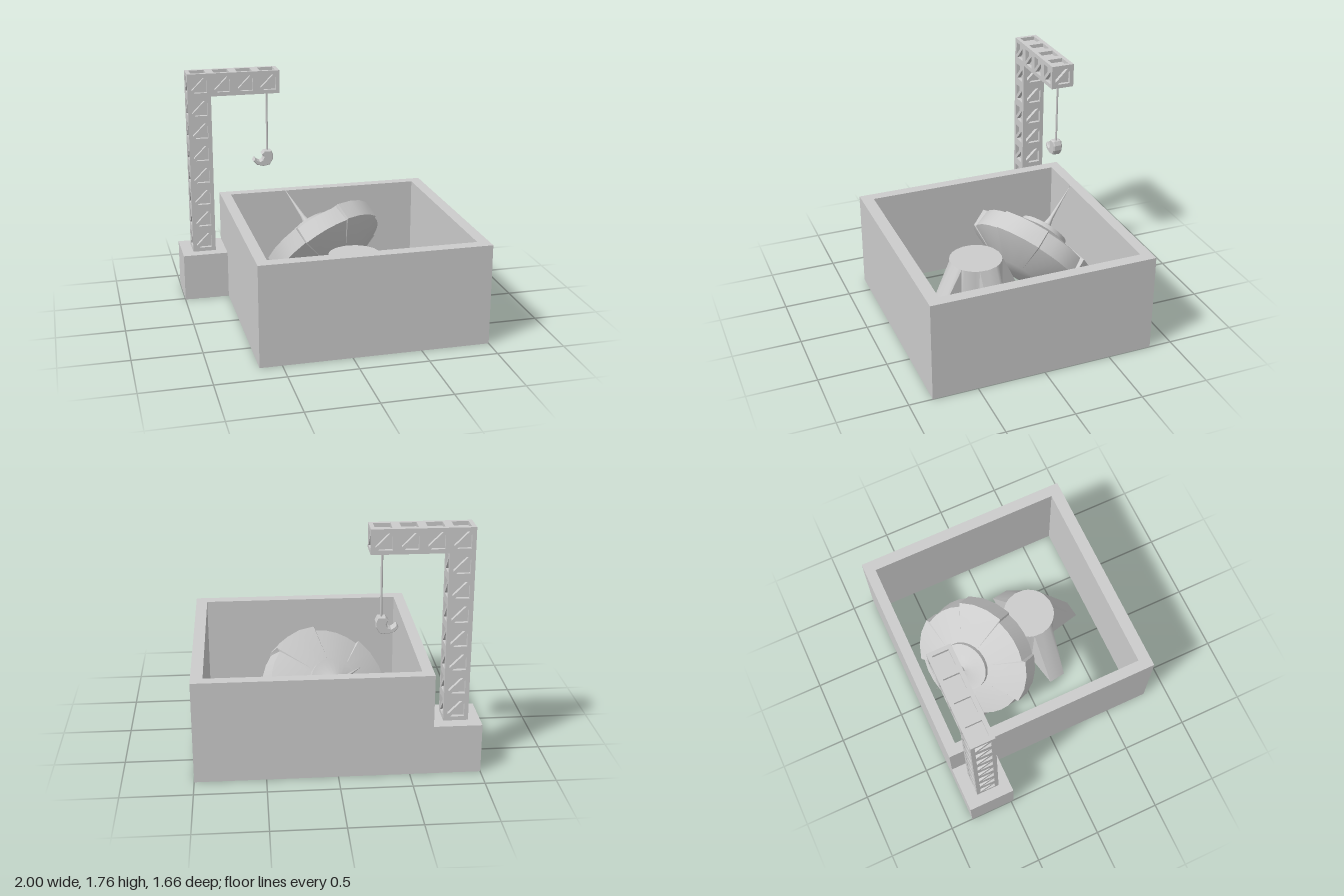
import * as THREE from 'three';
import { toCreasedNormals } from 'three/addons/utils/BufferGeometryUtils.js';

const material = new THREE.MeshStandardMaterial({ color: 0xcccccc });
const rad = THREE.MathUtils.degToRad;

function add(parent, name, geometry, x = 0, y = 0, z = 0) {
  const mesh = new THREE.Mesh(geometry, material);
  mesh.name = name;
  mesh.position.set(x, y, z);
  parent.add(mesh);
  return mesh;
}

const polar = (r, deg, y) => new THREE.Vector3(r * Math.cos(rad(deg)), y, -r * Math.sin(rad(deg)));

// Capped skin over closed rings, listed from bottom to top
function loft(rings) {
  const pos = [];
  const tri = (...points) => points.forEach((p) => pos.push(p.x, p.y, p.z));
  const n = rings[0].length;
  const centre = (ring) => new THREE.Vector3(0, ring[0].y, 0);
  const top = rings[rings.length - 1];
  for (let j = 0; j < n; j++) {
    const k = (j + 1) % n;
    for (let i = 0; i + 1 < rings.length; i++) {
      const [a, b, c, d] = [rings[i][j], rings[i][k], rings[i + 1][k], rings[i + 1][j]];
      tri(a, b, c);
      tri(a, c, d);
    }
    tri(centre(rings[0]), rings[0][k], rings[0][j]);
    tri(centre(top), top[j], top[k]);
  }
  const geometry = new THREE.BufferGeometry();
  geometry.setAttribute('position', new THREE.Float32BufferAttribute(pos, 3));
  return toCreasedNormals(geometry, 0.5);
}

const polygon = (points) => points.map(([x, y]) => new THREE.Vector2(x, y));

// Square wall frame, open above and below
function wallGeometry() {
  const shape = new THREE.Shape(polygon([[-0.66, -0.83], [1, -0.83], [1, 0.83], [-0.66, 0.83]]));
  shape.holes.push(new THREE.Path(polygon([[-0.58, -0.74], [-0.58, 0.75], [0.915, 0.75], [0.915, -0.74]])));
  return new THREE.ExtrudeGeometry(shape, { depth: 0.745, bevelEnabled: false }).rotateX(-Math.PI / 2);
}

// One lattice panel: a square frame, with or without a diagonal brace
function panelGeometry(size, depth, braced) {
  const h = size / 2, w = 0.058, g = 0.018;
  const shape = new THREE.Shape(polygon([[-h, -h], [h, -h], [h, h], [-h, h]]));
  const holes = braced
    ? [[[-w, -w + g], [-w, w], [w - g, w]], [[-w + g, -w], [w, w - g], [w, -w]]]
    : [[[-w, -w], [-w, w], [w, w], [w, -w]]];
  holes.forEach((hole) => shape.holes.push(new THREE.Path(polygon(hole))));
  return new THREE.ExtrudeGeometry(shape, { depth, bevelEnabled: false }).translate(0, 0, h - depth);
}

function buildCrane() {
  const crane = new THREE.Group();
  crane.name = 'crane';
  add(crane, 'craneBase', new THREE.BoxGeometry(0.345, 0.36, 0.35), -0.8275, 0.18, -0.655);

  // Mast of eight cells and an arm of three more
  const s = 0.175, depth = 0.028;
  const cells = [];
  for (let i = 0; i < 8; i++) cells.push([0, i]);
  for (let i = 1; i < 4; i++) cells.push([i, 7]);
  const used = (x, y) => cells.some((c) => c[0] === x && c[1] === y);
  const braced = panelGeometry(s, depth, true);
  const plain = panelGeometry(s, depth, false);
  const faces = [
    [0, 0, 0, 0], [0, 0, 0, Math.PI], [1, 0, 0, Math.PI / 2], [-1, 0, 0, -Math.PI / 2],
    [0, 1, -Math.PI / 2, 0], [0, -1, Math.PI / 2, 0],
  ];
  for (const [cx, cy] of cells) {
    const at = [-0.8275 + cx * s, 0.36 + (cy + 0.5) * s, -0.65];
    for (const [dx, dy, rx, ry] of faces) {
      if ((dx || dy) && used(cx + dx, cy + dy)) continue;
      add(crane, 'latticePanel', dy ? plain : braced, ...at).rotation.set(rx, ry, 0);
    }
  }
  // Solid core behind the lattice openings
  const t = s - 2 * depth;
  add(crane, 'mastCore', new THREE.BoxGeometry(t, 1.4 - 2 * depth, t), -0.8275, 1.06, -0.65);
  add(crane, 'armCore', new THREE.BoxGeometry(0.7 - 2 * depth, t, t), -0.565, 1.6725, -0.65);

  add(crane, 'cable', new THREE.CylinderGeometry(0.008, 0.008, 0.5, 8), -0.302, 1.36, -0.65);
  const hook = new THREE.Shape(polygon([
    [-0.276, 1.122], [-0.262, 1.09], [-0.264, 1.05], [-0.288, 1.008], [-0.335, 0.998], [-0.39, 1.012],
    [-0.42, 1.045], [-0.405, 1.07], [-0.387, 1.052], [-0.367, 1.04], [-0.346, 1.05], [-0.336, 1.075],
    [-0.352, 1.098], [-0.33, 1.122],
  ]));
  add(crane, 'hook', new THREE.ExtrudeGeometry(hook, {
    depth: 0.05, bevelSize: 0.006, bevelOffset: -0.006, bevelThickness: 0.01, bevelSegments: 1,
  }), 0, 0, -0.675);
  return crane;
}

// Round drum with four splayed legs
function standGeometry() {
  const bottom = [], top = [];
  for (let q = 0; q < 4; q++) {
    const turn = 8 + q * 90;
    const put = (x, side, topAngle) => {
      const r = Math.hypot(x, side), a = THREE.MathUtils.radToDeg(Math.atan2(side, x));
      bottom.push(polar(r, a + turn, 0));
      top.push(polar(0.195, topAngle + turn, 0.52));
    };
    put(0.18, -0.085, -30);
    put(0.43, -0.065, -20);
    put(0.43, 0, 0);
    put(0.43, 0.065, 20);
    put(0.18, 0.085, 30);
    for (const a of [37, 45, 53]) put(0.195 * Math.cos(rad(a)), 0.195 * Math.sin(rad(a)), a);
  }
  return loft([bottom, top]);
}

function buildSaucer() {
  const saucer = new THREE.Group();
  saucer.name = 'saucer';

  // Rim outline with four recesses, as [angle, top radius]
  const outline = [];
  const R = 0.475, inset = 0.445;
  for (let q = 0; q < 4; q++) {
    const c = -120 + q * 90;
    outline.push([c - 23, R], [c - 22, inset]);
    for (const a of [-11, 0, 11]) outline.push([c + a, inset]);
    outline.push([c + 22, inset], [c + 23, R], [c + 38, R], [c + 52, R]);
  }
  const ring = (h, radius) => outline.map(([a, r]) => polar(radius(r), a, h));
  add(saucer, 'hull', loft([
    ring(-0.28, () => 0.2),
    ring(-0.14, (r) => (r + R) / 2),
    ring(0, (r) => r),
    ring(0.09, () => 0.185),
  ]));

  // Raised hub drawn up into a spike
  const profile = polygon([[0.19, 0.07], [0.19, 0.12], [0.07, 0.137], [0.03, 0.165], [0.016, 0.23], [0, 0.533]]);
  add(saucer, 'hubAndSpike', toCreasedNormals(new THREE.LatheGeometry(profile, 24), 0.6));

  // Leaning backwards against the ground
  const tilt = rad(52);
  const across = new THREE.Vector3(0.882, 0, -0.471);
  const axis = new THREE.Vector3(-0.471 * Math.sin(tilt), Math.cos(tilt), -0.882 * Math.sin(tilt));
  const basis = new THREE.Matrix4().makeBasis(across, axis, across.clone().cross(axis));
  saucer.quaternion.setFromRotationMatrix(basis);
  saucer.position.set(0.033, 0.457, -0.351);
  return saucer;
}

export function createModel() {
  const model = new THREE.Group();
  model.name = 'craneYard';
  add(model, 'walls', wallGeometry());
  add(model, 'stand', standGeometry(), 0.18, 0, 0.2);
  model.add(buildCrane(), buildSaucer());
  return model;
}
